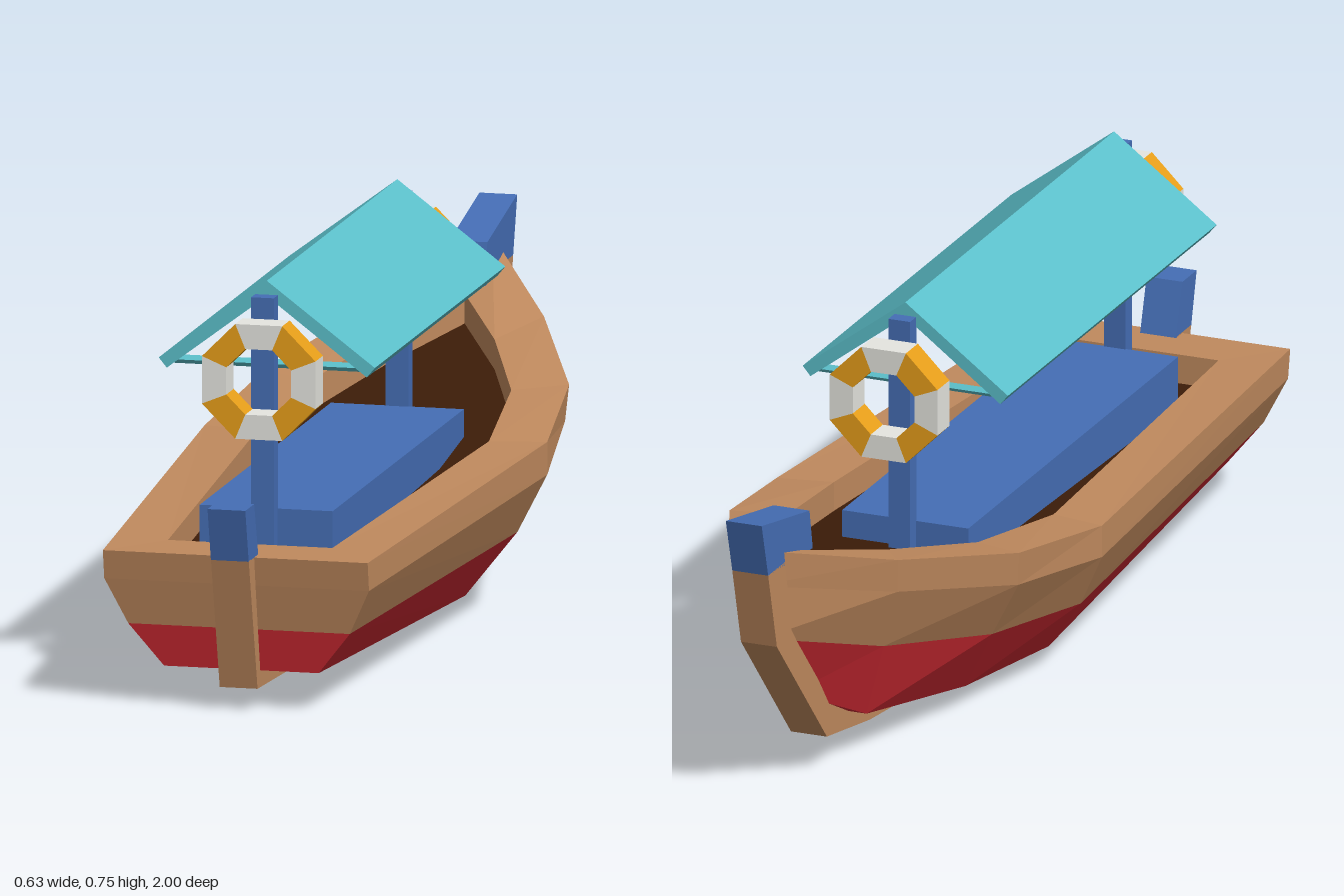
import * as THREE from 'three';

const mat = (name, color) => {
  const m = new THREE.MeshStandardMaterial({ color });
  m.name = name;
  return m;
};

export function createModel() {
  const wood = mat('wood brown', 0xc08a5e);
  const darkWood = mat('dark deck brown', 0x3c1c08);
  const red = mat('hull red', 0xd02a33);
  const blue = mat('paint blue', 0x456eb5);
  const teal = mat('canopy teal', 0x5cc0cb);
  const white = mat('ring white', 0xe6e6e0);
  const yellow = mat('ring yellow', 0xe89f1a);

  const boat = new THREE.Group();
  boat.name = 'boat';
  const add = (name, geometry, material, parent = boat) => {
    const mesh = new THREE.Mesh(geometry, material);
    mesh.name = name;
    parent.add(mesh);
    return mesh;
  };

  // Flat-faced surface from pairs of edge lines, mirrored across x = 0
  const strips = (name, pairs, material) => {
    const pos = [];
    const tri = (...pts) => {
      pts.forEach((p) => pos.push(...p));
      pts.reverse().forEach(([x, y, z]) => pos.push(-x, y, z));
    };
    for (const [a, b] of pairs) {
      for (let i = 0; i < a.length - 1; i++) {
        tri(a[i], b[i], b[i + 1]);
        tri(a[i], b[i + 1], a[i + 1]);
      }
    }
    const g = new THREE.BufferGeometry();
    g.setAttribute('position', new THREE.Float32BufferAttribute(pos, 3));
    g.computeVertexNormals();
    return add(name, g, material);
  };

  // Hull lines on the left side, from stern to bow
  const sheer = [[0.245, 0.285, 0.935], [0.317, 0.31, -0.1], [0.282, 0.355, -0.4], [0.165, 0.42, -0.68], [0, 0.508, -0.955]];
  const strake = [[0.245, 0.232, 0.925], [0.317, 0.25, -0.1], [0.277, 0.29, -0.39], [0.16, 0.355, -0.67], [0, 0.435, -0.94]];
  const water = [[0.205, 0.148, 0.907], [0.267, 0.147, -0.08], [0.217, 0.18, -0.37], [0.12, 0.235, -0.64], [0, 0.327, -0.92]];
  const chine = [[0.143, 0.07, 0.89], [0.183, 0.036, -0.03], [0.135, 0.045, -0.3], [0.07, 0.085, -0.6], [0, 0.175, -0.78]];
  const inner = [[0.152, 0.287, 0.825], [0.214, 0.31, -0.08], [0.185, 0.348, -0.36], [0.1, 0.395, -0.575], [0, 0.44, -0.752]];
  const floor = inner.map(([x, y, z]) => [x, y - 0.055, z]);
  const middle = (line) => line.map(([, y, z]) => [0, y, z]);
  // Line across the stern, from the centre to the corner
  const across = (line) => [middle(line)[0], line[0]];

  strips('upperHull', [
    [sheer, strake], [strake, water],
    [across(sheer), across(strake)], [across(strake), across(water)],
  ], wood);
  strips('lowerHull', [
    [water, chine], [chine, middle(chine)], [across(water), across(chine)],
  ], red);
  strips('gunwale', [
    [inner, sheer], [floor, inner],
    [across(inner), across(sheer)], [across(floor), across(inner)],
  ], wood);
  strips('deck', [[middle(floor), floor]], darkWood);

  // Side profile (z, y) extruded across the boat
  const profile = (name, points, width, material) => {
    const shape = new THREE.Shape(points.map(([z, y]) => new THREE.Vector2(z, y)));
    const g = new THREE.ExtrudeGeometry(shape, { depth: width, bevelEnabled: false });
    g.rotateY(-Math.PI / 2).translate(width / 2, 0, 0);
    return add(name, g, material);
  };
  profile('keelAndStem', [
    [0.975, 0.287], [0.91, 0.04], [0, 0], [-0.25, 0.01], [-0.5, 0.035], [-0.7, 0.07], [-0.93, 0.32], [-0.97, 0.47],
    [-0.88, 0.47], [-0.8, 0.32], [-0.62, 0.14], [-0.4, 0.09], [0, 0.06], [0.86, 0.09], [0.91, 0.287],
  ], 0.07, wood);
  profile('bowCap', [[-0.97, 0.47], [-1, 0.575], [-0.78, 0.53], [-0.765, 0.453]], 0.07, blue);
  profile('sternCap', [[0.975, 0.285], [1, 0.383], [0.935, 0.383], [0.905, 0.285]], 0.07, blue);

  // Long cabin box between the posts
  add('cabinBox', new THREE.BoxGeometry(0.246, 0.11, 0.965), blue).position.set(0, 0.275, 0.225);

  // Pitched canopy with a thin tie bar at each end
  const roof = new THREE.Shape([
    [0, 0.745], [-0.2, 0.595], [-0.185, 0.577], [0, 0.717], [0.185, 0.577], [0.2, 0.595],
  ].map(([x, y]) => new THREE.Vector2(x, y)));
  add('canopy', new THREE.ExtrudeGeometry(roof, { depth: 0.96, bevelEnabled: false }), teal).position.z = -0.257;

  // Octagonal ring in eight blocks of alternating colour
  const ringBlock = (k) => {
    const corner = (r, a) => new THREE.Vector2(r * Math.cos(a), r * Math.sin(a));
    const a0 = (k - 0.5) * Math.PI / 4, a1 = (k + 0.5) * Math.PI / 4;
    const outer = 0.105 / Math.cos(Math.PI / 8), hole = 0.06 / Math.cos(Math.PI / 8);
    const shape = new THREE.Shape([corner(hole, a0), corner(outer, a0), corner(outer, a1), corner(hole, a1)]);
    return new THREE.ExtrudeGeometry(shape, { depth: 0.055, bevelEnabled: false }).translate(0, 0, -0.0275);
  };

  // Post, tie bar and life ring at each end of the canopy
  for (const [end, postZ, barZ, ringZ] of [['stern', 0.72, 0.69, 0.763], ['bow', -0.27, -0.245, -0.313]]) {
    add(end + 'Post', new THREE.BoxGeometry(0.042, 0.49, 0.03), blue).position.set(0, 0.475, postZ);
    const bar = new THREE.CylinderGeometry(0.008, 0.008, 0.35, 4).rotateZ(Math.PI / 2).toNonIndexed();
    bar.computeVertexNormals();
    add(end + 'TieBar', bar, teal).position.set(0, 0.592, barZ);
    const ring = new THREE.Group();
    ring.name = end + 'LifeRing';
    ring.position.set(0.007, 0.576, ringZ);
    for (let k = 0; k < 8; k++) add('ringBlock', ringBlock(k), k % 2 ? yellow : white, ring);
    boat.add(ring);
  }

  return boat;
}
